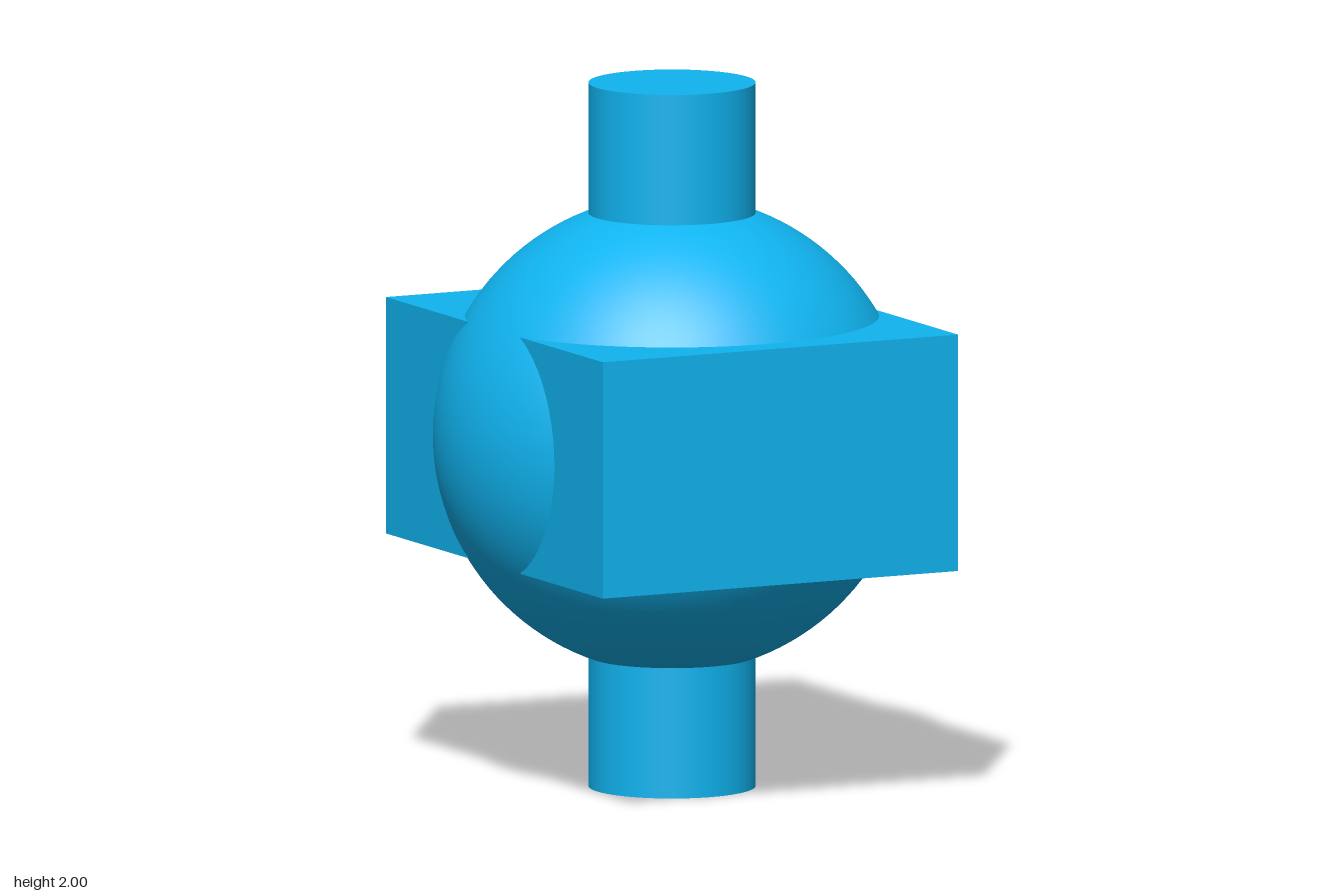
import * as THREE from 'three';

export function createModel() {
  const model = new THREE.Group();
  const material = new THREE.MeshStandardMaterial({ color: 0x10b4f0 });
  const radius = 0.672, shaftRadius = 0.235;

  const add = (name, geometry, y) => {
    const mesh = new THREE.Mesh(geometry, material);
    mesh.name = name;
    mesh.position.y = y;
    model.add(mesh);
  };

  // Central ball
  add('ball', new THREE.SphereGeometry(radius, 96, 64), 1);

  // Block passing through the ball from front to back
  add('crossBlock', new THREE.BoxGeometry(1.12, 0.672, 1.344), 1);

  // Round stubs above and below, starting just inside the ball
  const inner = 0.6, length = 1 - inner;
  for (const [name, side] of [['upperShaft', 1], ['lowerShaft', -1]]) {
    add(name, new THREE.CylinderGeometry(shaftRadius, shaftRadius, length, 64),
      1 + side * (inner + length / 2));
  }

  return model;
}
